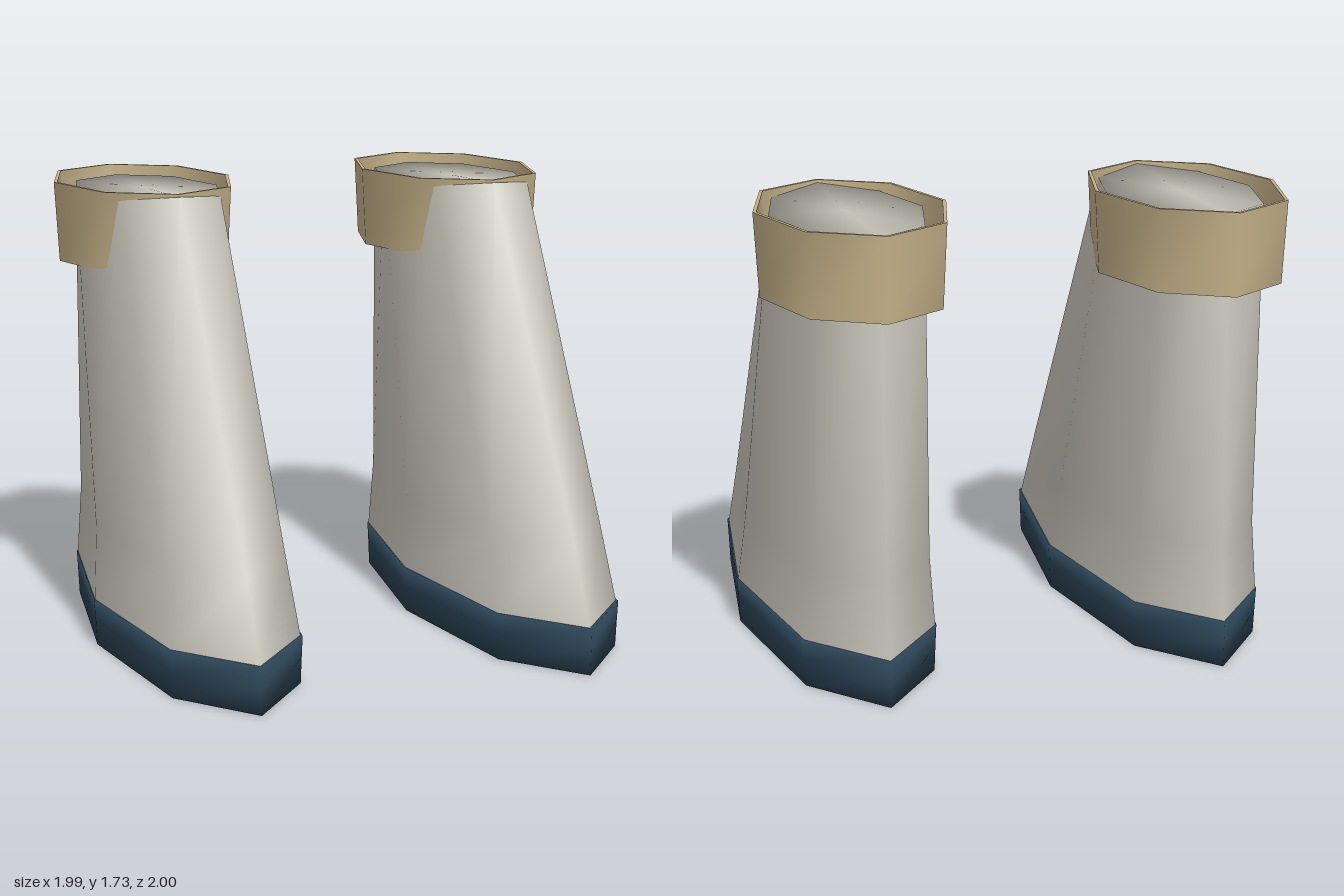
import * as THREE from 'three';

const SIDES = 8;

// Skin through eight-sided rings {y, rx, front, back, lift}, bottom to top; smooth shared normals.
function loft(rings, { bottom = false, top = false } = {}) {
  const pos = [], index = [];
  for (const { y, rx, front, back, lift = 0 } of rings) {
    const cz = (front + back) / 2, rz = (front - back) / 2;
    for (let k = 0; k < SIDES; k++) {
      const a = (k / SIDES) * Math.PI * 2;
      pos.push(rx * Math.sin(a), y + (k === 0 ? lift : 0), cz + rz * Math.cos(a));
    }
  }
  for (let j = 0; j < rings.length - 1; j++) {
    for (let k = 0; k < SIDES; k++) {
      const n = (k + 1) % SIDES;
      const a = j * SIDES + k, b = j * SIDES + n, c = b + SIDES, d = a + SIDES;
      index.push(a, b, c, a, c, d);
    }
  }
  const cap = (j, up) => {
    const r = rings[j], centre = pos.length / 3;
    pos.push(0, r.y, (r.front + r.back) / 2);
    for (let k = 0; k < SIDES; k++) {
      const a = j * SIDES + k, b = j * SIDES + ((k + 1) % SIDES);
      if (up) index.push(centre, a, b);
      else index.push(centre, b, a);
    }
  };
  if (bottom) cap(0, false);
  if (top) cap(rings.length - 1, true);
  const geo = new THREE.BufferGeometry();
  geo.setAttribute('position', new THREE.Float32BufferAttribute(pos, 3));
  geo.setIndex(index);
  geo.computeVertexNormals();
  return geo;
}

function material(name, color) {
  const m = new THREE.MeshStandardMaterial({ color });
  m.name = name;
  return m;
}

export function createModel() {
  const leather = material('pale grey leather', 0xc4c1b6);
  const tan = material('tan cuff', 0xc4b188);
  const navy = material('navy sole', 0x2c4557);

  // Sole slab, slightly narrower at the ground
  const soleGeo = loft([
    { y: 0, rx: 0.345, front: 0.995, back: -0.965 },
    { y: 0.1, rx: 0.35, front: 0.998, back: -0.968 },
    { y: 0.18, rx: 0.355, front: 1, back: -0.97 },
  ], { bottom: true, top: true });

  // Upper, sloping from the toe back to the ankle
  const upperGeo = loft([
    { y: 0.175, rx: 0.35, front: 0.985, back: -0.965 },
    { y: 0.45, rx: 0.325, front: 0.845, back: -0.93 },
    { y: 1.7, rx: 0.285, front: 0.05, back: -0.88, lift: 0.02 },
  ], { top: true });

  // Cuff band: outer wall, rim, inner wall, lower rim
  const wall = 0.014;
  const low = { y: 1.42, rx: 0.338, front: 0.02, back: -0.985 };
  const high = { y: 1.73, rx: 0.355, front: 0.04, back: -1 };
  const inset = (r) => ({ ...r, rx: r.rx - wall, front: r.front - wall, back: r.back + wall });
  const cuffParts = {
    cuffOuter: loft([low, high]),
    cuffRim: loft([high, inset(high)]),
    cuffInner: loft([inset(high), inset(low)]),
    cuffLowerRim: loft([inset(low), low]),
  };

  const model = new THREE.Group();
  model.name = 'pairOfBoots';
  for (const side of [1, -1]) {
    const boot = new THREE.Group();
    boot.name = side > 0 ? 'leftBoot' : 'rightBoot';
    const add = (name, geo, mat, parent = boot) => {
      const mesh = new THREE.Mesh(geo, mat);
      mesh.name = name;
      parent.add(mesh);
    };
    add('sole', soleGeo, navy);
    add('upper', upperGeo, leather);
    const cuff = new THREE.Group();
    cuff.name = 'cuff';
    for (const [name, geo] of Object.entries(cuffParts)) add(name, geo, tan, cuff);
    boot.add(cuff);
    boot.position.x = side * 0.64;
    model.add(boot);
  }
  return model;
}
